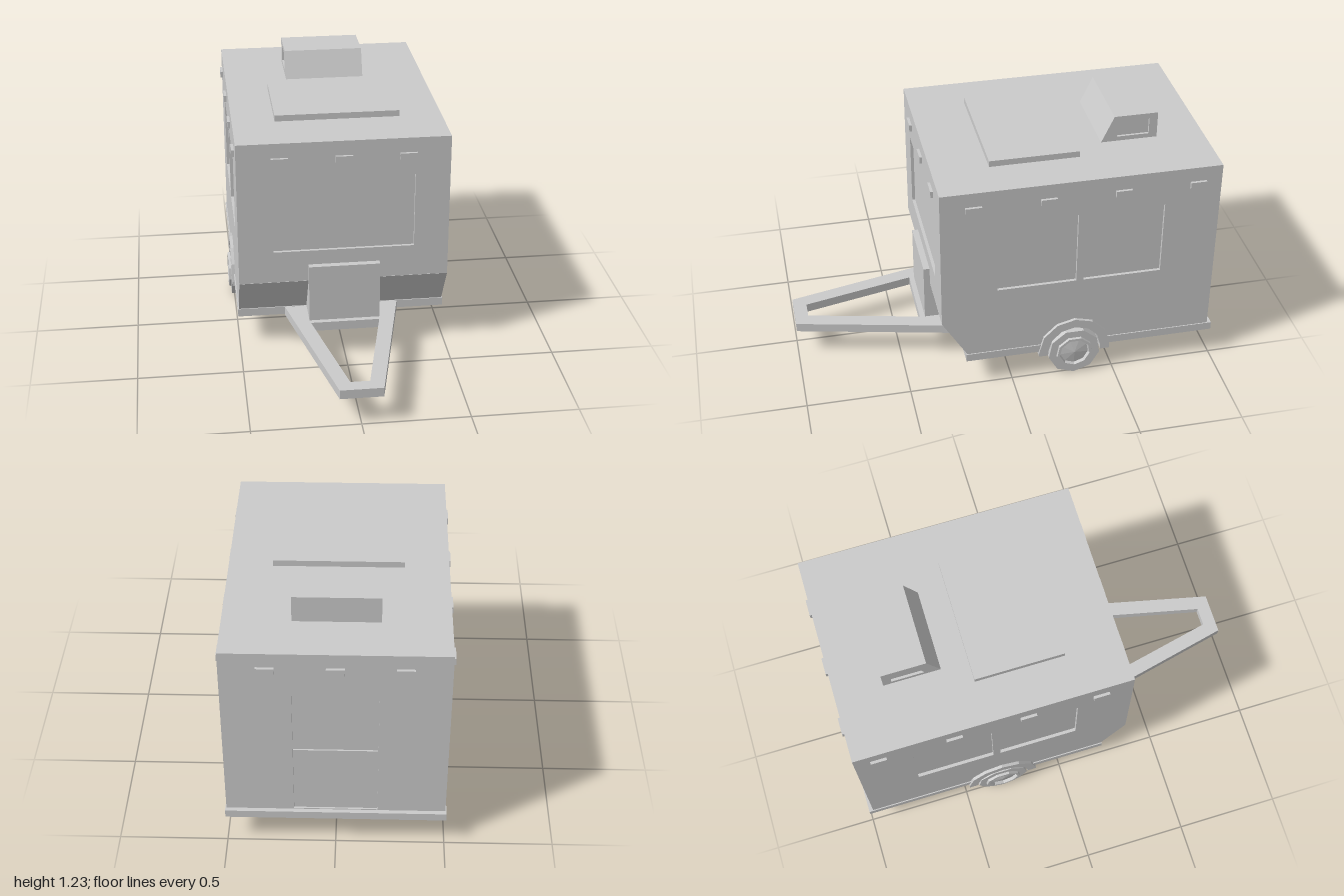
import * as THREE from 'three';

const grey = new THREE.MeshStandardMaterial({ color: 0xcccccc, flatShading: true });

export function createModel() {
  const model = new THREE.Group();
  model.name = 'camperTrailer';

  const add = (name, geometry, parent = model) => {
    const mesh = new THREE.Mesh(geometry, grey);
    mesh.name = name;
    parent.add(mesh);
    return mesh;
  };
  // Box from its min and max on each axis
  const box = (name, x0, x1, y0, y1, z0, z1) =>
    add(name, new THREE.BoxGeometry(x1 - x0, y1 - y0, z1 - z0)
      .translate((x0 + x1) / 2, (y0 + y1) / 2, (z0 + z1) / 2));
  const shapeOf = (points, holes = []) => {
    const shape = new THREE.Shape(points.map(p => new THREE.Vector2(...p)));
    for (const h of holes) shape.holes.push(new THREE.Path(h.map(p => new THREE.Vector2(...p))));
    return shape;
  };
  const rect = (u0, u1, v0, v1) => [[u0, v0], [u1, v0], [u1, v1], [u0, v1]];
  const extrude = (points, holes, depth) =>
    new THREE.ExtrudeGeometry(shapeOf(points, holes), { depth, bevelEnabled: false });
  // Profile in (z, y), extruded across the width from x0 to x1
  const across = (name, points, holes, x0, x1) =>
    add(name, extrude(points, holes, x1 - x0).rotateY(-Math.PI / 2).translate(x1, 0, 0));
  // Panel in (x, y), extruded from z0 to z1
  const panel = (name, points, holes, z0, z1) =>
    add(name, extrude(points, holes, z1 - z0).translate(0, 0, z0));
  // Half circle of points in (z, y) over the axle, from front to back
  const axleZ = -0.305;
  const arc = r => Array.from({ length: 7 }, (_, i) => {
    const a = i * Math.PI / 6;
    return [axleZ + r * Math.cos(a), 0.145 + r * Math.sin(a)];
  });

  // Body core, with a wheel tunnel through the underside
  const top = 1.1, sill = 0.185, skin = 0.015;
  const tunnel = arc(0.16).slice(1, 6);
  const notch = [[axleZ + 0.155, sill], ...tunnel, [axleZ - 0.155, sill]];
  const bodyProfile = (front, back) => [
    [back, sill], ...[...notch].reverse(), [0.22, sill], [0.34, 0.385],
    [front, 0.386], [front, top], [back, top],
  ];
  across('bodyCore', bodyProfile(0.34 - skin, -0.98 + skin), [], -0.5 + skin, 0.5 - skin);

  // Outer skins with recessed windows and door
  const sideWindows = [rect(-0.305, 0.075, 0.545, 0.918), rect(-0.715, -0.34, 0.545, 0.918)];
  for (const [name, x0, x1] of [['leftWall', 0.5 - skin, 0.5], ['rightWall', -0.5, -0.5 + skin]])
    across(name, bodyProfile(0.34, -0.98), sideWindows, x0, x1);
  const w = 0.5 - skin;
  panel('frontWall', rect(-w, w, 0.386, top), [rect(-0.335, 0.335, 0.545, 0.915)], 0.34 - skin, 0.34);
  panel('backWall', rect(-w, w, sill, top), [rect(-0.19, 0.19, 0.19, 0.916)], -0.98, -0.98 + skin);
  box('lowerDoor', -0.188, 0.188, 0.19, 0.545, -0.972, -0.964);

  // Chassis sill in front of and behind the wheels
  box('frontSill', -0.505, 0.505, 0.145, sill, -0.15, 0.225);
  box('backSill', -0.505, 0.505, 0.145, sill, -1, -0.46);

  // Fender arch running across the full width
  const outer = [[axleZ + 0.175, 0.122], ...arc(0.175), [axleZ - 0.175, 0.122]];
  const inner = [[axleZ + 0.13, 0.122], ...arc(0.13), [axleZ - 0.13, 0.122]];
  across('fenderArch', [...outer, ...inner.reverse()], [], -0.515, 0.515);

  // Wheels: tyre, rim ring and shallow dished hub
  const wheelProfile = [[0, 0.385], [0.128, 0.385], [0.128, 0.515], [0.09, 0.515],
    [0.088, 0.527], [0.075, 0.527], [0.07, 0.512], [0, 0.522]].map(p => new THREE.Vector2(...p));
  for (const [name, turn] of [['leftWheel', 0], ['rightWheel', Math.PI]]) {
    const wheel = add(name, new THREE.LatheGeometry(wheelProfile, 9, Math.PI / 2).rotateZ(-Math.PI / 2));
    wheel.rotation.y = turn;
    wheel.position.set(0, 0.128, axleZ);
  }

  // Tapered tow frame and storage box
  add('towFrame', extrude(
    [[-0.277, 0.22], [0.277, 0.22], [0.1, 1], [-0.1, 1]],
    [[[-0.165, 0.395], [0.165, 0.395], [0.045, 0.935], [-0.045, 0.935]]], 0.045)
    .rotateX(Math.PI / 2).translate(0, 0.184, 0));
  box('storageBox', -0.17, 0.17, 0.184, 0.472, 0.23, 0.37);

  // Roof hatch
  box('roofHatch', -0.298, 0.298, top, 1.13, -0.355, 0.072);

  // Roof air unit with recessed side vents
  const unit = [[-0.755, top], [-0.485, top], [-0.545, 1.23], [-0.755, 1.23]];
  const vent = [[-0.715, 1.122], [-0.56, 1.122], [-0.594, 1.205], [-0.715, 1.205]];
  across('airUnit', unit, [], -0.183, 0.183);
  across('airUnitLeftSide', unit, [vent], 0.183, 0.195);
  across('airUnitRightSide', unit, [vent], -0.195, -0.183);

  // Marker lights around the top edge
  for (const x of [-0.3, 0, 0.3]) {
    box('frontMarkerLight', x - 0.04, x + 0.04, 0.995, 1.028, 0.335, 0.353);
    box('backMarkerLight', x - 0.04, x + 0.04, 0.995, 1.028, -0.993, -0.975);
  }
  for (const z of [0.185, -0.163, -0.513, -0.867]) {
    box('leftMarkerLight', 0.495, 0.513, 0.995, 1.028, z - 0.038, z + 0.038);
    box('rightMarkerLight', -0.513, -0.495, 0.995, 1.028, z - 0.038, z + 0.038);
  }
  return model;
}
